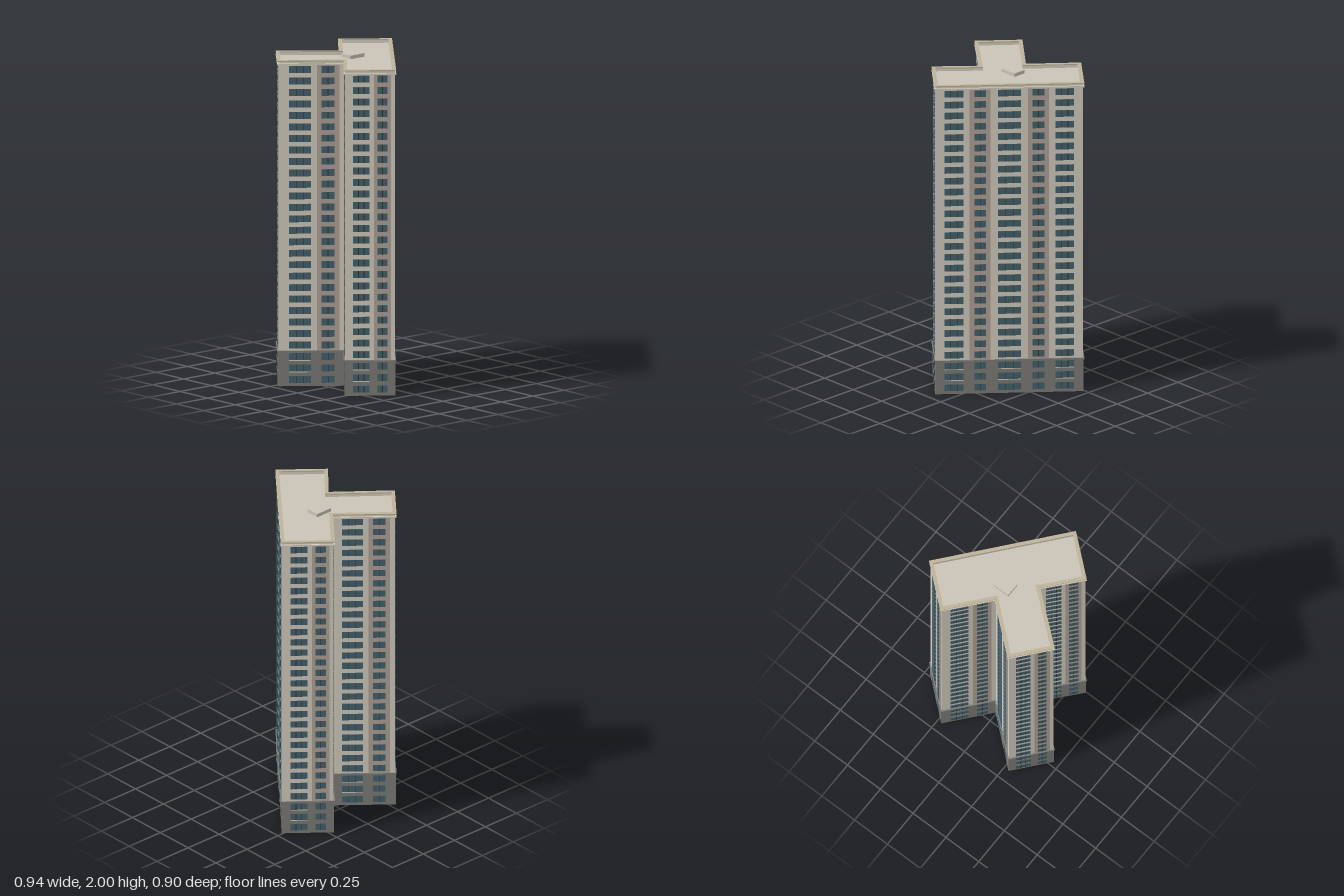
import * as THREE from 'three';
import { mergeGeometries } from 'three/addons/utils/BufferGeometryUtils.js';

const mat = (name, color) => {
  const m = new THREE.MeshStandardMaterial({ color });
  m.name = name;
  return m;
};

// Footprint corners (x, z), each wall running left to right as seen from outside
const OUTLINE = [
  [-0.349, 0.246], [-0.107, 0.449], [0.47, -0.243], [0.22, -0.451],
  [0.007, -0.196], [-0.285, -0.442], [-0.47, -0.22], [-0.162, 0.031],
];
const FLOORS = 28, PITCH = 0.0705, FIRST = 0.0405, WINDOW_H = 0.042;
const BASE_TOP = 0.212, ROOF_Y = 1.977, TOP = 2;

// Bays as fractions of the wall length: window start, end, number of panes
const LONG_BAYS = [[0.06, 0.187, 3], [0.262, 0.342, 2], [0.422, 0.578, 3], [0.658, 0.738, 2], [0.813, 0.94, 3]];
const SHORT_BAYS = [[0.16, 0.49, 3], [0.65, 0.85, 2]];
const LONG_BANDS = [[0.23, 0.373], [0.627, 0.77]];
const SHORT_BANDS = [[0.58, 0.92]];

// Moves the outline outwards (or inwards when negative) with mitred corners
function offset(points, d) {
  const n = points.length;
  const normal = (i) => {
    const a = points[i % n], b = points[(i + 1) % n];
    const l = Math.hypot(b[0] - a[0], b[1] - a[1]);
    return [-(b[1] - a[1]) / l, (b[0] - a[0]) / l];
  };
  return points.map((p, i) => {
    const a = normal(i + n - 1), b = normal(i);
    const k = d / (1 + a[0] * b[0] + a[1] * b[1]);
    return [p[0] + (a[0] + b[0]) * k, p[1] + (a[1] + b[1]) * k];
  });
}

// Upright prism over an outline, with an optional hole
function prism(outline, y0, y1, hole) {
  const vec = (pts) => pts.map(([x, z]) => new THREE.Vector2(x, -z));
  const shape = new THREE.Shape(vec(outline));
  if (hole) shape.holes.push(new THREE.Path(vec(hole)));
  return new THREE.ExtrudeGeometry(shape, { depth: y1 - y0, bevelEnabled: false })
    .rotateX(-Math.PI / 2).translate(0, y0, 0);
}

export function createModel() {
  const wallMat = mat('cream wall', 0xd6d0c1);
  const bandMat = mat('taupe band', 0xb3a599);
  const baseMat = mat('grey base', 0x7e7d78);
  const glassMat = mat('blue grey glass', 0x46626d);
  const frameMat = mat('dark frame', 0x2b3337);
  const roofMat = mat('roof', 0xc9c4b6);
  const trimMat = mat('sand trim', 0xbdb399);

  const model = new THREE.Group();
  model.name = 'tower';
  const add = (name, geometry, material) => {
    const mesh = new THREE.Mesh(geometry, material);
    mesh.name = name;
    model.add(mesh);
  };

  // Main volumes
  const wall = offset(OUTLINE, -0.008);
  const inner = offset(OUTLINE, -0.022);
  const plinth = offset(OUTLINE, -0.005);
  add('base', prism(plinth, 0, BASE_TOP), baseMat);
  add('baseLedge', prism(OUTLINE, BASE_TOP - 0.004, BASE_TOP + 0.006), baseMat);
  add('walls', prism(wall, BASE_TOP, ROOF_Y - 0.008), wallMat);
  add('roof', prism(inner, ROOF_Y - 0.008, ROOF_Y), roofMat);
  add('parapet', prism(wall, ROOF_Y - 0.008, TOP - 0.006, inner), wallMat);
  add('cornice', prism(OUTLINE, ROOF_Y - 0.006, ROOF_Y + 0.004, inner), wallMat);
  add('parapetCap', prism(OUTLINE, TOP - 0.007, TOP, inner), trimMat);
  add('roofHatch', new THREE.BoxGeometry(0.112, 0.022, 0.085).translate(0.016, ROOF_Y + 0.011, -0.083), roofMat);

  // Facade details, gathered by part
  const parts = { bands: [], windows: [], mullions: [], sills: [] };
  wall.forEach((a, i) => {
    const b = wall[(i + 1) % wall.length];
    const dx = b[0] - a[0], dz = b[1] - a[1], length = Math.hypot(dx, dz);
    const place = new THREE.Matrix4().makeRotationY(Math.atan2(-dz, dx)).setPosition(a[0], 0, a[1]);
    const plate = (list, x0, x1, y0, y1, z) => list.push(
      new THREE.BoxGeometry(x1 - x0, y1 - y0, 0.003)
        .translate((x0 + x1) / 2, (y0 + y1) / 2, z).applyMatrix4(place));
    const long = i === 1;

    for (const [s, e] of long ? LONG_BANDS : SHORT_BANDS) {
      plate(parts.bands, s * length, e * length, BASE_TOP + 0.006, ROOF_Y - 0.006, 0.0005);
    }
    for (const [s, e, panes] of long ? LONG_BAYS : SHORT_BAYS) {
      const x0 = s * length, x1 = e * length;
      for (let f = 0; f < FLOORS; f++) {
        const y = FIRST + f * PITCH, y0 = y - WINDOW_H / 2, y1 = y + WINDOW_H / 2;
        const z = f < 3 ? 0.003 : 0.002;
        plate(parts.windows, x0, x1, y0, y1, z);
        for (let p = 1; p < panes; p++) {
          const x = x0 + (x1 - x0) * p / panes;
          plate(parts.mullions, x - 0.002, x + 0.002, y0, y1, z + 0.001);
        }
        // Pale sills on the upper base floors
        if (panes === 3 && (f === 1 || f === 2)) plate(parts.sills, x0, x1, y0 - 0.005, y0, z);
      }
    }
  });
  add('wallBands', mergeGeometries(parts.bands), bandMat);
  add('windows', mergeGeometries(parts.windows), glassMat);
  add('windowMullions', mergeGeometries(parts.mullions), frameMat);
  add('windowSills', mergeGeometries(parts.sills), wallMat);
  return model;
}
